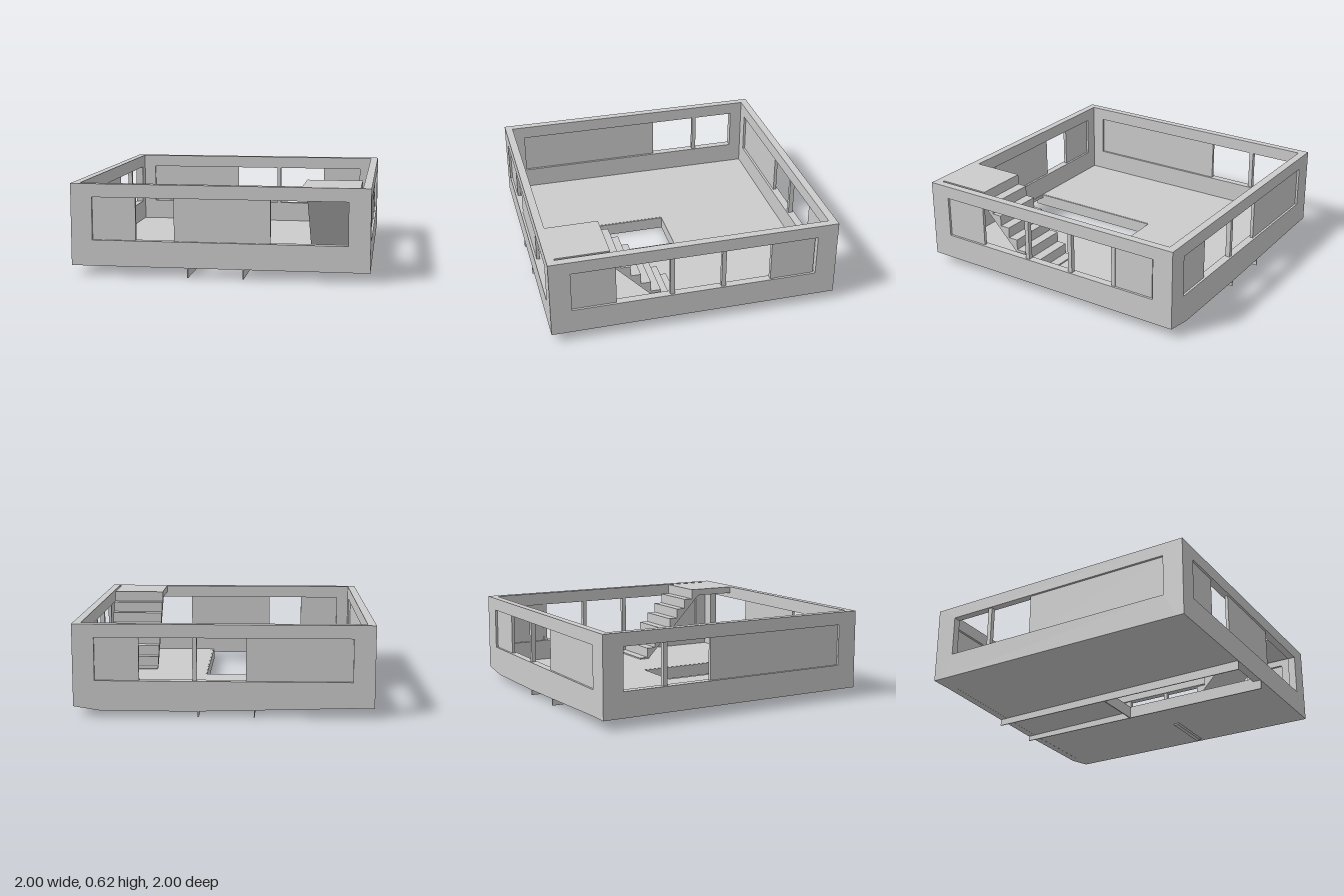
import * as THREE from 'three';

const TOP = 0.62, BASE = 0.065, FLOOR = 0.09, T = 0.055;
const SILL = 0.24, HEAD = 0.53, WIN = 0.855;

export function createModel() {
  const root = new THREE.Group();
  const mat = new THREE.MeshStandardMaterial({ color: 0xcccccc, flatShading: true });
  const matDouble = new THREE.MeshStandardMaterial({ color: 0xcccccc, flatShading: true, side: THREE.DoubleSide });

  const add = (parent, name, geo, m = mat) => {
    const mesh = new THREE.Mesh(geo, m);
    mesh.name = name;
    parent.add(mesh);
    return mesh;
  };
  // box given by its low and high limits
  const box = (parent, name, x0, x1, y0, y1, z0, z1) => {
    const b = add(parent, name, new THREE.BoxGeometry(x1 - x0, y1 - y0, z1 - z0));
    b.position.set((x0 + x1) / 2, (y0 + y1) / 2, (z0 + z1) / 2);
    return b;
  };
  const polygon = (pts) => new THREE.Shape(pts.map(([x, y]) => new THREE.Vector2(x, y)));
  const rectHole = (x0, x1, y0, y1) =>
    new THREE.Path([[x0, y0], [x0, y1], [x1, y1], [x1, y0]].map(([x, y]) => new THREE.Vector2(x, y)));

  // Depth of the sagging underside along the back edge
  const sag = [[-1, 0], [-0.84, 0], [-0.205, 0.018], [0.17, 0.028], [0.8, 0.031], [1, 0]];

  // Wall in its own plane (outer face at local z = 0), with a window band,
  // thin infill panels and slender posts
  function wall(name, half, panels, posts, bottom) {
    const g = new THREE.Group();
    g.name = name;
    const shape = polygon([...bottom, [half, TOP], [-half, TOP]]);
    shape.holes.push(rectHole(-WIN, WIN, SILL, HEAD));
    const body = add(g, name + 'Body', new THREE.ExtrudeGeometry(shape, { depth: T, bevelEnabled: false }));
    body.position.z = -T;
    for (const [a, b] of panels) box(g, 'infillPanel', a, b, SILL, HEAD, -0.038, -0.016);
    for (const p of posts) box(g, 'windowPost', p - 0.015, p + 0.015, SILL, HEAD, -0.045, -0.012);
    root.add(g);
    return g;
  }
  const side = 1 - T;
  const flat = (h) => [[-h, BASE], [h, BASE]];

  wall('frontWall', 1, [[-WIN, -0.56], [-0.3, 0.345]], [], flat(1)).position.z = 1;

  // local x is mirrored on the back wall
  const back = wall('backWall', 1, [[-WIN, -0.56], [0.15, WIN]], [-0.19],
    sag.map(([x, d]) => [-x, BASE - d]).reverse());
  back.rotation.y = Math.PI;
  back.position.z = -1;

  // local x runs along -z
  const east = wall('leftWall', side, [[-WIN, -0.55], [0.56, 0.842]], [-0.165, 0.195, 0.545], flat(side));
  east.rotation.y = Math.PI / 2;
  east.position.x = 1;

  // local x runs along +z
  const west = wall('rightWall', side, [[-0.2, WIN]], [-0.545], flat(side));
  west.rotation.y = -Math.PI / 2;
  west.position.x = -1;

  // Floor slab with its long opening (shape y is -z)
  const slab = polygon([[-side, -side], [side, -side], [side, side], [-side, side]]);
  slab.holes.push(rectHole(-0.21, 0.17, -0.94, 0.07));
  const floor = add(root, 'floor', new THREE.ExtrudeGeometry(slab, { depth: FLOOR - BASE - 0.002, bevelEnabled: false }));
  floor.rotation.x = -Math.PI / 2;
  floor.position.y = BASE + 0.002;

  // Underside, sagging toward the back edge
  for (let i = 0; i < sag.length - 1; i++) {
    const [[x0, d0], [x1, d1]] = [sag[i], sag[i + 1]];
    const zEnd = i === 2 ? -0.07 : 1;
    const k = (1 - zEnd) / 2;
    const geo = new THREE.BufferGeometry();
    geo.setAttribute('position', new THREE.Float32BufferAttribute([
      x0, BASE - d0, -1, x1, BASE - d1, -1,
      x1, BASE - d1 * k, zEnd, x0, BASE - d0 * k, zEnd], 3));
    geo.setIndex([0, 1, 2, 0, 2, 3]);
    geo.computeVertexNormals();
    add(root, 'floorUnderside', geo, matDouble);
  }

  // Thin beams below the floor and the cross plate behind the opening
  for (const x of [-0.21, 0.162]) box(root, 'floorBeam', x, x + 0.008, 0, FLOOR - 0.002, -1, 1);
  box(root, 'crossBeam', -0.205, 0.166, 0, FLOOR - 0.002, -0.078, -0.07);

  // Stair: stepped profile over a diagonal soffit, ending in a landing
  const pts = [[0.095, 0.042]];
  for (let i = 0; i < 7; i++) {
    const y = 0.1 + i * 0.0743;
    pts.push([0.095 + i * 0.0686, y], [0.095 + (i + 1) * 0.0686, y]);
  }
  pts.push([0.575, TOP], [0.95, TOP], [0.95, 0.57], [0.635, 0.57], [0.128, 0.042]);
  const stair = add(root, 'stair', new THREE.ExtrudeGeometry(
    polygon(pts.map(([z, y]) => [-z, y])), { depth: 0.38, bevelEnabled: false }));
  stair.rotation.y = Math.PI / 2;
  stair.position.x = 0.55;

  return root;
}
